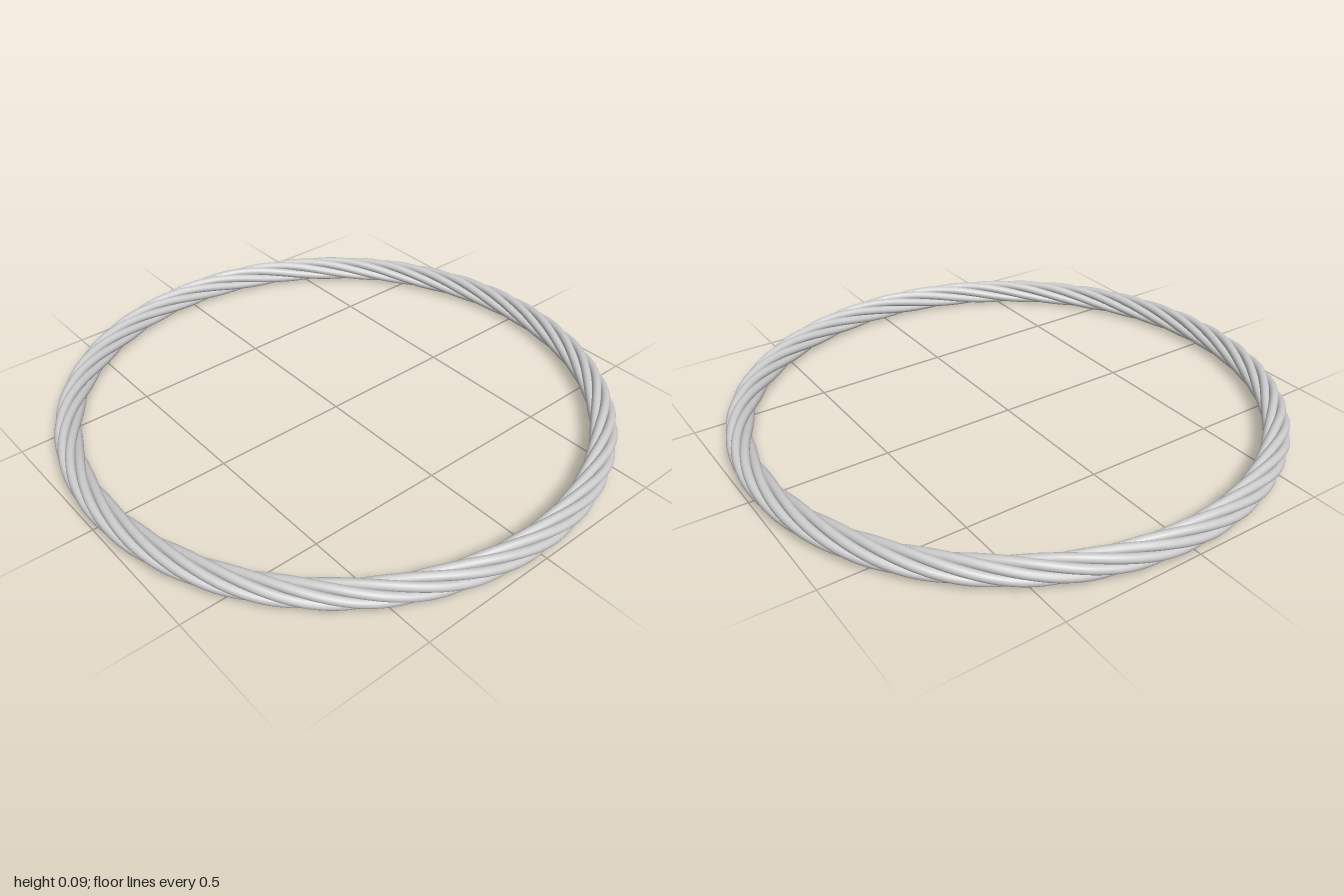
import * as THREE from 'three';

const STRANDS = 6;
const TURNS = 38 / STRANDS;    // each strand ends where another one begins
const RING_RADIUS = 0.9525;
const ROPE_RADIUS = 0.0475;
const STRAND_RADIUS = 0.0163;
const OFFSET = ROPE_RADIUS - STRAND_RADIUS;

// Helix wound around a horizontal circle
class StrandCurve extends THREE.Curve {
  constructor(phase) {
    super();
    this.phase = phase;
    this.arcLengthDivisions = 800;
  }
  getPoint(t, target = new THREE.Vector3()) {
    const theta = t * Math.PI * 2;
    const twist = theta * TURNS + this.phase;
    const r = RING_RADIUS + OFFSET * Math.sin(twist);
    return target.set(
      r * Math.sin(theta),
      ROPE_RADIUS + OFFSET * Math.cos(twist),
      r * Math.cos(theta)
    );
  }
}

export function createModel() {
  const ring = new THREE.Group();
  ring.name = 'ropeRing';
  const material = new THREE.MeshStandardMaterial({ color: 0xcccccc });

  // Twisted strands
  for (let i = 0; i < STRANDS; i++) {
    const curve = new StrandCurve((i / STRANDS) * Math.PI * 2);
    const strand = new THREE.Mesh(
      new THREE.TubeGeometry(curve, 360, STRAND_RADIUS, 14, false),
      material
    );
    strand.name = `strand${i + 1}`;
    ring.add(strand);
  }
  return ring;
}
